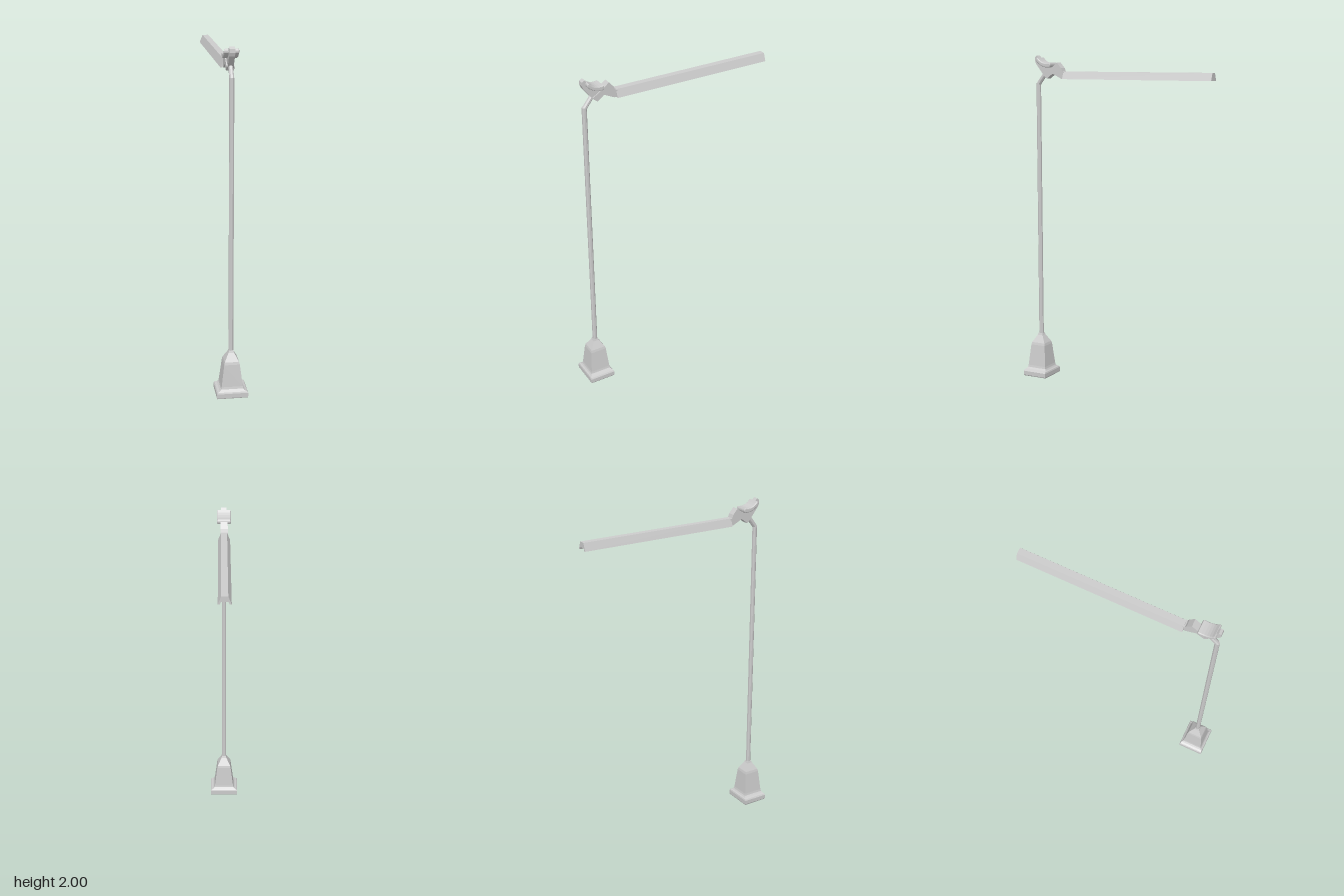
import * as THREE from 'three';

const material = new THREE.MeshStandardMaterial({ color: 0xcccccc, flatShading: true, side: THREE.DoubleSide });
const POLE_Z = 0.537;

function part(name, geometry) {
  const mesh = new THREE.Mesh(geometry, material);
  mesh.name = name;
  return mesh;
}

function outline(points) {
  return new THREE.Shape(points.map(([a, b]) => new THREE.Vector2(a, b)));
}

// Side profile given as (z, y), extruded symmetrically across x
function sidePlate(name, shape, halfWidth, bevel = 0) {
  const depth = 2 * (halfWidth - bevel);
  const geometry = new THREE.ExtrudeGeometry(shape, {
    depth, curveSegments: 6, bevelEnabled: bevel > 0, bevelSize: bevel,
    bevelOffset: -bevel, bevelThickness: bevel, bevelSegments: 3,
  });
  geometry.translate(0, 0, -depth / 2).rotateY(-Math.PI / 2);
  return part(name, geometry);
}

// Octagonal rod between two points
function rod(name, from, to, radius) {
  const a = new THREE.Vector3(...from), b = new THREE.Vector3(...to);
  const geometry = new THREE.CylinderGeometry(radius, radius, a.distanceTo(b), 8).rotateY(Math.PI / 8);
  const mesh = part(name, geometry);
  mesh.position.copy(a).add(b).multiplyScalar(0.5);
  mesh.quaternion.setFromUnitVectors(new THREE.Vector3(0, 1, 0), b.sub(a).normalize());
  return mesh;
}

// Rectangular stepped foot: rings of [height, half width, half depth]
function createBase() {
  const rings = [
    [0, 0, 0], [0, 0.087, 0.077], [0.005, 0.09, 0.079], [0.03, 0.09, 0.079], [0.038, 0.085, 0.076],
    [0.043, 0.073, 0.07], [0.052, 0.064, 0.064], [0.065, 0.061, 0.061],
    [0.195, 0.045, 0.049], [0.21, 0.041, 0.045], [0.255, 0.017, 0.018], [0.268, 0.013, 0.013], [0.268, 0, 0],
  ];
  const geometry = new THREE.LatheGeometry(
    rings.map(([y, hx]) => new THREE.Vector2(hx * Math.SQRT2, y)), 4, Math.PI / 4);
  const position = geometry.attributes.position;
  for (let i = 0; i < position.count; i++) {
    const [, hx, hz] = rings[i % rings.length];
    if (hx) position.setZ(i, position.getZ(i) * hz / hx);
  }
  const mesh = part('base', geometry);
  mesh.position.z = POLE_Z;
  return mesh;
}

// Trapezoid bar with a channel along the underside
function createLampBar() {
  const half = [[0.018, 1.905], [0.036, 1.86], [0.025, 1.86], [0.019, 1.875]];
  const mirrored = half.map(([x, y]) => [-x, y]).reverse();
  const geometry = new THREE.ExtrudeGeometry(outline([...half, ...mirrored]), { depth: 0.967, bevelEnabled: false });
  geometry.translate(0, 0, -0.616);
  return part('lampBar', geometry);
}

// Curved rounded pad lying over the hinge
function createPad() {
  const shape = new THREE.Shape();
  shape.moveTo(0.523, 1.988);
  shape.quadraticCurveTo(0.488, 1.945, 0.436, 1.957);
  shape.quadraticCurveTo(0.425, 1.944, 0.436, 1.929);
  shape.quadraticCurveTo(0.49, 1.922, 0.53, 1.965);
  shape.quadraticCurveTo(0.535, 1.98, 0.523, 1.988);
  return sidePlate('hingePad', shape, 0.041, 0.006);
}

export function createModel() {
  const model = new THREE.Group();
  model.name = 'lamp';
  model.add(createBase());

  // Upright and its short bend
  model.add(rod('pole', [0, 0.262, POLE_Z], [0, 1.835, POLE_Z], 0.0143));
  model.add(rod('poleBend', [0, 1.828, POLE_Z], [0, 1.91, 0.474], 0.0135));

  // Hinge head
  model.add(sidePlate('hingeBody', outline([
    [0.553, 1.97], [0.545, 1.95], [0.49, 1.88], [0.466, 1.861], [0.425, 1.9],
    [0.436, 1.94], [0.49, 1.95], [0.522, 1.983], [0.537, 2.0], [0.551, 1.99],
  ]), 0.016));
  model.add(createPad());
  model.add(sidePlate('hingeLink', outline([
    [0.466, 1.861], [0.425, 1.892], [0.365, 1.862], [0.345, 1.862], [0.345, 1.902],
    [0.357, 1.905], [0.365, 1.925], [0.394, 1.958], [0.43, 1.928], [0.492, 1.888],
  ]), 0.022));

  model.add(createLampBar());
  return model;
}
